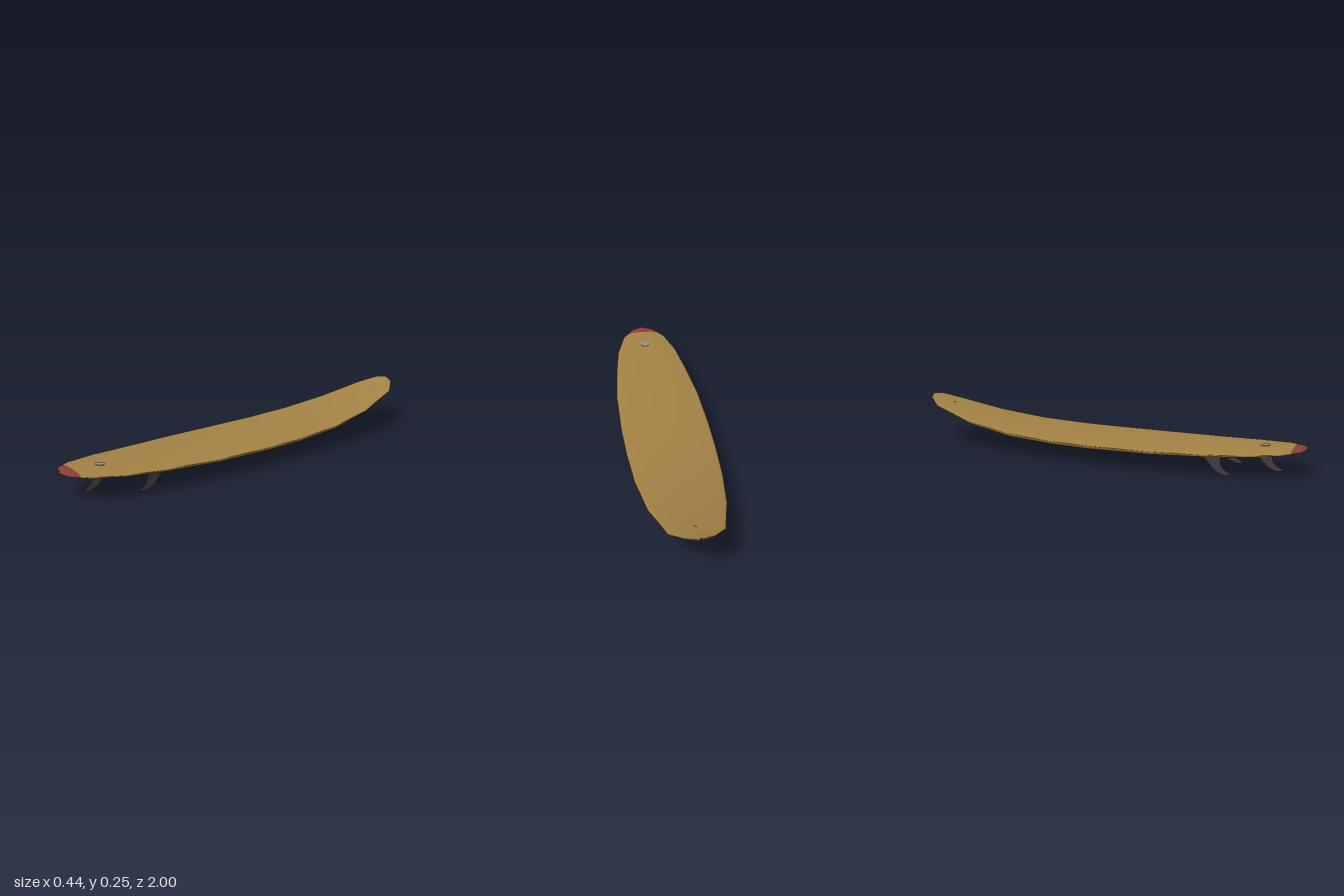
import * as THREE from 'three';

// Stations along the board: z, half width, keel y, rail y, deck y
const STATIONS = [
  [-1, 0.004, 0.241, 0.249, 0.256],
  [-0.98, 0.06, 0.226, 0.242, 0.25],
  [-0.91, 0.12, 0.188, 0.212, 0.222],
  [-0.68, 0.175, 0.125, 0.154, 0.17],
  [-0.44, 0.205, 0.075, 0.122, 0.135],
  [-0.2, 0.218, 0.06, 0.109, 0.123],
  [0, 0.222, 0.056, 0.106, 0.12],
  [0.3, 0.216, 0.063, 0.107, 0.121],
  [0.56, 0.191, 0.08, 0.112, 0.128],
  [0.75, 0.165, 0.097, 0.12, 0.136],
  [0.9, 0.118, 0.112, 0.13, 0.145],
  [0.935, 0.092, 0.117, 0.133, 0.147],
  [0.975, 0.06, 0.122, 0.137, 0.151],
  [0.995, 0.004, 0.13, 0.14, 0.15],
];
const TAIL_START = 11;

// Closed cross-section: vee bottom, rounded rail, softly domed deck
function section([z, w, keel, rail, deck]) {
  const low = (t) => keel + (rail - keel) * t;
  const high = (t) => rail + (deck - rail) * t;
  const half = [
    [0.5, low(0.35)], [0.9, low(0.64)], [0.96, low(0.74)], [1, rail],
    [0.985, high(0.28)], [0.92, high(0.5)], [0.5, high(0.88)],
  ];
  const mirrored = half.map(([x, y]) => [-x, y]).reverse();
  return [[0, keel], ...half, [0, deck], ...mirrored].map(([x, y]) => [x * w, y, z]);
}

function boardGeometry() {
  const rings = STATIONS.map(section);
  const n = rings[0].length;
  const index = [];
  for (let i = 0; i < rings.length - 1; i++) {
    for (let j = 0; j < n; j++) {
      const a = i * n + j, b = i * n + (j + 1) % n;
      index.push(a, b, b + n, a, b + n, a + n);
    }
  }
  const geo = new THREE.BufferGeometry();
  geo.setAttribute('position', new THREE.Float32BufferAttribute(rings.flat(2), 3));
  geo.setIndex(index);
  geo.computeVertexNormals();
  // Body and tail tip share normals but not colour
  const split = TAIL_START * n * 6;
  geo.addGroup(0, split, 0);
  geo.addGroup(split, index.length - split, 1);
  return geo;
}

// Swept-back fin, thinning towards its tip
function finGeometry() {
  const shape = new THREE.Shape();
  shape.moveTo(0.52, 0.11);
  shape.lineTo(0.545, 0.08);
  shape.quadraticCurveTo(0.585, 0.015, 0.64, 0.006);
  shape.quadraticCurveTo(0.665, 0.006, 0.675, 0.014);
  shape.quadraticCurveTo(0.61, 0.04, 0.622, 0.082);
  shape.lineTo(0.625, 0.11);
  const geo = new THREE.ExtrudeGeometry(shape, { depth: 0.016, bevelEnabled: false, curveSegments: 6 });
  geo.translate(0, 0, -0.008);
  geo.rotateY(-Math.PI / 2);
  const p = geo.attributes.position;
  for (let i = 0; i < p.count; i++) {
    const t = THREE.MathUtils.clamp((p.getY(i) - 0.004) / 0.08, 0.05, 1);
    p.setX(i, p.getX(i) * t);
  }
  geo.computeVertexNormals();
  return geo;
}

export function createModel() {
  const mat = (name, color) => {
    const m = new THREE.MeshStandardMaterial({ color });
    m.name = name;
    return m;
  };
  const tan = mat('tan board', 0xa38245);
  const red = mat('red tail', 0x8a3f3a);
  const dark = mat('dark fin', 0x453d40);
  const grey = mat('grey plug', 0x96928a);

  const group = new THREE.Group();
  group.name = 'surfboard';
  const add = (name, geo, material, x = 0, y = 0, z = 0, tilt = 0) => {
    const mesh = new THREE.Mesh(geo, material);
    mesh.name = name;
    mesh.position.set(x, y, z);
    mesh.rotation.x = tilt;
    group.add(mesh);
  };

  add('board', boardGeometry(), [tan, red]);

  // Two side fins and a centre fin further back
  const fin = finGeometry();
  add('leftFin', fin, dark, 0.115);
  add('rightFin', fin, dark, -0.115);
  add('centreFin', fin, dark, 0, 0.014, 0.217);

  // Leash plug on the tail, small vent through the nose
  add('leashPlug', new THREE.CylinderGeometry(0.022, 0.022, 0.008, 16), grey, 0.005, 0.137, 0.8, -0.06);
  add('noseVent', new THREE.CylinderGeometry(0.006, 0.006, 0.037, 8), grey, 0, 0.198, -0.88, 0.222);
  return group;
}
